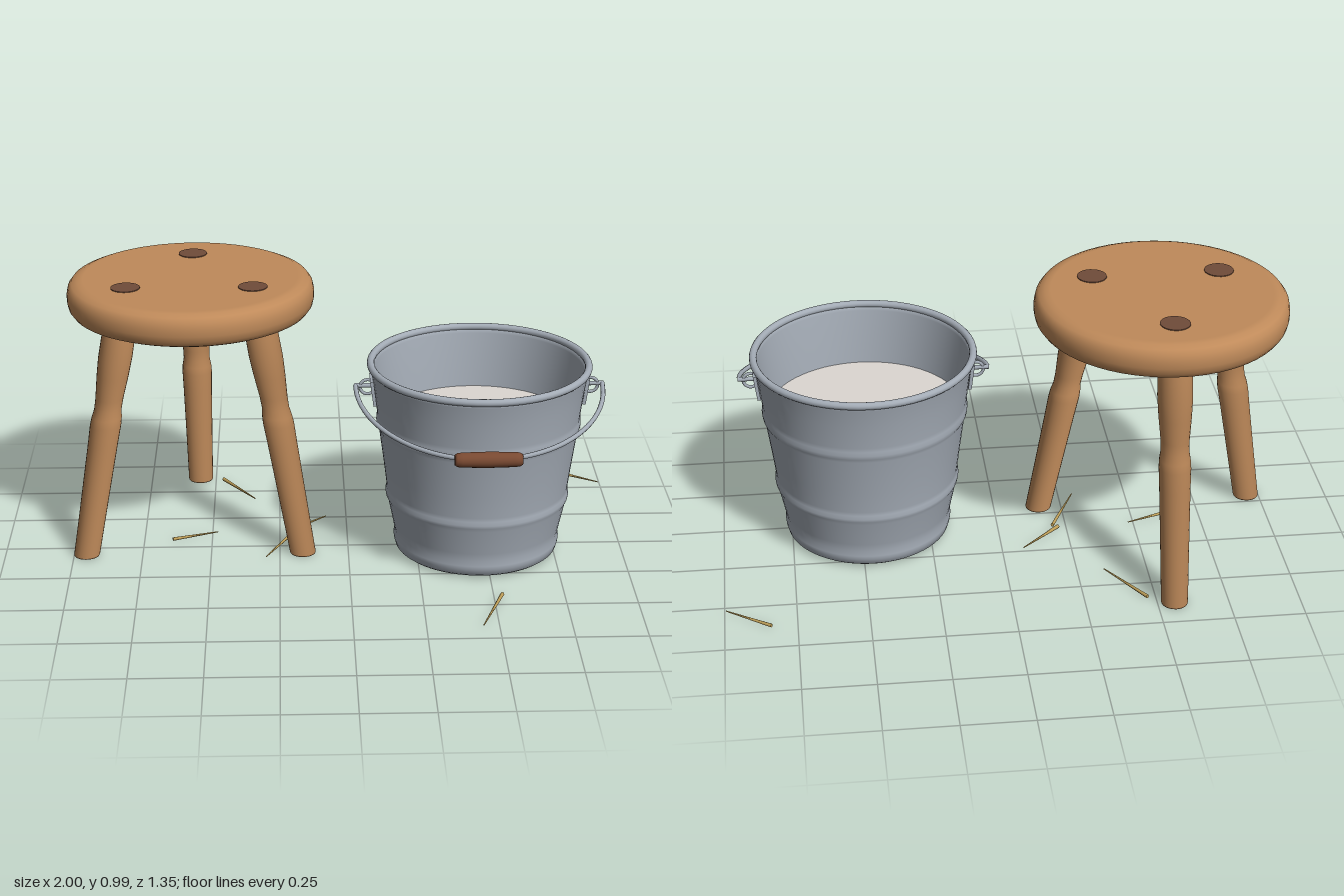
import * as THREE from 'three';

const mat = (name, color) => {
  const m = new THREE.MeshStandardMaterial({ color });
  m.name = name;
  return m;
};

export function createModel() {
  const wood = mat('wood', 0xbf8a5a);
  const darkWood = mat('dark wood', 0x704c3a);
  const gripWood = mat('grip wood', 0x7a4a32);
  const metal = mat('galvanised metal', 0xa4acb6);
  const milkWhite = mat('milk white', 0xdcd7d2);
  const strawGold = mat('straw gold', 0xc2a25a);

  const root = new THREE.Group();
  const group = (name, x, z) => {
    const g = new THREE.Group();
    g.name = name;
    g.position.set(x, 0, z);
    root.add(g);
    return g;
  };
  const add = (parent, name, geometry, material, x = 0, y = 0, z = 0) => {
    const m = new THREE.Mesh(geometry, material);
    m.name = name;
    m.position.set(x, y, z);
    parent.add(m);
    return m;
  };
  const lathe = (pts, segments) =>
    new THREE.LatheGeometry(pts.map(([r, y]) => new THREE.Vector2(r, y)), segments);

  // Stool seat with rounded edges
  const stool = group('stool', -0.56, -0.175);
  add(stool, 'seat', lathe([
    [0, 0.866], [0.39, 0.866], [0.405, 0.867], [0.426, 0.876], [0.438, 0.893], [0.443, 0.915],
    [0.443, 0.94], [0.438, 0.962], [0.426, 0.978], [0.405, 0.987], [0.385, 0.99], [0, 0.99],
  ], 64), wood);

  // Three turned legs, splayed outward, with flat feet and dark ends showing on the seat
  const legProfile = [
    [0, 0], [0.046, 0], [0.047, 0.003], [0.05, 0.2], [0.054, 0.42], [0.056, 0.49], [0.054, 0.52],
    [0.049, 0.55], [0.05, 0.59], [0.057, 0.67], [0.061, 0.74], [0.06, 0.82], [0.055, 0.9],
  ];
  const splay = (y) => 0.455 - 0.197 * y;
  for (const angle of [30, 150, 270]) {
    const dx = Math.cos(angle * Math.PI / 180), dz = Math.sin(angle * Math.PI / 180);
    const leg = lathe(legProfile, 24);
    const p = leg.attributes.position;
    for (let i = 0; i < p.count; i++) {
      const s = splay(p.getY(i));
      p.setX(i, p.getX(i) + dx * s);
      p.setZ(i, p.getZ(i) + dz * s);
    }
    add(stool, 'leg', leg, wood);
    add(stool, 'legEnd', new THREE.CylinderGeometry(0.052, 0.052, 0.006, 24), darkWood,
      dx * 0.26, 0.99, dz * 0.26);
  }

  // Bucket shell with two raised beads, rolled rim and inner wall
  const bucket = group('bucket', 0.47, 0);
  add(bucket, 'shell', lathe([
    [0, 0.004], [0.265, 0.004], [0.282, 0.006], [0.294, 0.015], [0.3, 0.035], [0.302, 0.05],
    [0.298, 0.07], [0.304, 0.1], [0.324, 0.195], [0.331, 0.21], [0.333, 0.222], [0.33, 0.236],
    [0.329, 0.25], [0.339, 0.33], [0.358, 0.47], [0.366, 0.485], [0.368, 0.5], [0.366, 0.515],
    [0.365, 0.53], [0.376, 0.62], [0.388, 0.69], [0.392, 0.7], [0.38, 0.71], [0.375, 0.69],
    [0.362, 0.6], [0.348, 0.5], [0.34, 0.42],
  ], 64), metal);
  const rim = add(bucket, 'rim', new THREE.TorusGeometry(0.389, 0.0135, 12, 64), metal, 0, 0.711, 0);
  rim.rotation.x = Math.PI / 2;
  const milk = add(bucket, 'milk', new THREE.CircleGeometry(0.35, 64), milkWhite, 0, 0.49, 0);
  milk.rotation.x = -Math.PI / 2;

  // Handle ears: plate, loop and pin on each side
  for (const side of [-1, 1]) {
    const plate = add(bucket, 'earPlate', new THREE.BoxGeometry(0.012, 0.094, 0.094), metal,
      side * 0.38, 0.613, 0);
    plate.rotation.z = -side * 0.13;
    add(bucket, 'earLoop', new THREE.TorusGeometry(0.027, 0.006, 8, 24), metal, side * 0.4, 0.625, 0);
    const pin = add(bucket, 'pin', new THREE.CylinderGeometry(0.008, 0.008, 0.07, 10), metal,
      side * 0.412, 0.63, 0);
    pin.rotation.z = Math.PI / 2;
  }

  // Swung-down wire handle with a wooden grip
  const arc = [];
  for (let i = 0; i <= 24; i++) {
    const t = Math.PI * i / 24;
    arc.push(new THREE.Vector3(0.443 * Math.cos(t), 0.63 - 0.11 * Math.sin(t), 0.435 * Math.sin(t)));
  }
  add(bucket, 'wireHandle',
    new THREE.TubeGeometry(new THREE.CatmullRomCurve3(arc), 64, 0.0085, 8), metal);
  const grip = add(bucket, 'grip', lathe([
    [0, -0.118], [0.018, -0.117], [0.024, -0.108], [0.026, -0.09], [0.028, 0],
    [0.026, 0.09], [0.024, 0.108], [0.018, 0.117], [0, 0.118],
  ], 20), gripWood, 0, 0.52, 0.433);
  grip.rotation.z = Math.PI / 2;

  // Loose straws on the ground: thick end x, z then thin end x, z
  const straws = [
    [0.84, -0.635, 0.995, -0.53], [0.53, 0.435, 0.445, 0.67], [-0.645, -0.05, -0.48, -0.11],
    [-0.2, -0.1, -0.3, 0.11], [-0.22, -0.11, -0.077, -0.24], [-0.47, -0.6, -0.345, -0.41],
  ];
  const up = new THREE.Vector3(0, 1, 0);
  for (const [x0, z0, x1, z1] of straws) {
    const dir = new THREE.Vector3(x1 - x0, 0, z1 - z0);
    const straw = add(root, 'straw', new THREE.CylinderGeometry(0.002, 0.007, dir.length(), 6),
      strawGold, (x0 + x1) / 2, 0.009, (z0 + z1) / 2);
    straw.quaternion.setFromUnitVectors(up, dir.normalize());
  }
  return root;
}
